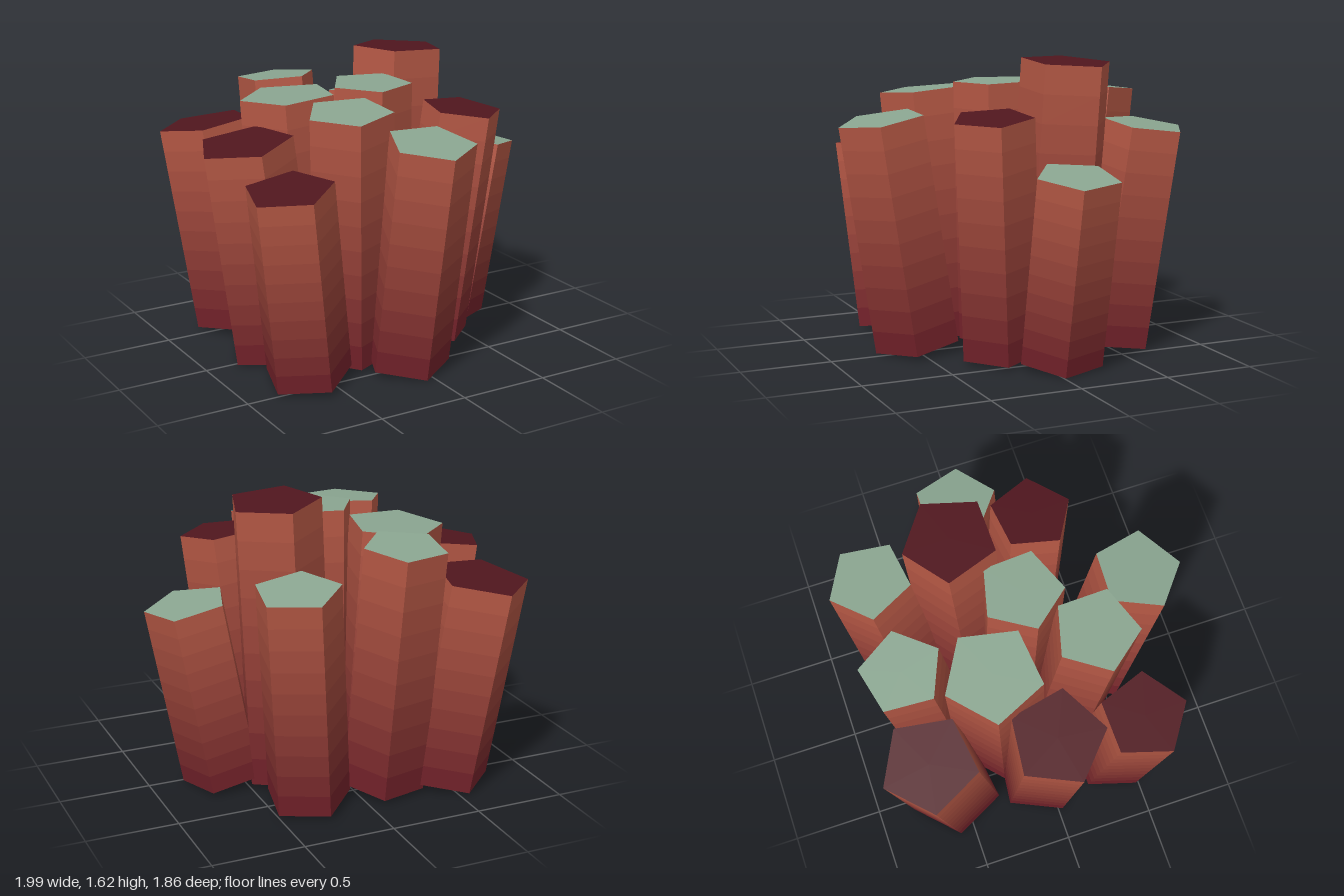
import * as THREE from 'three';

const BANDS = 10;   // colour steps from foot to top
const BASE_Y = 0.04;

const paint = (color) => new THREE.MeshStandardMaterial({ color, flatShading: true });

// Top centre x, y, z; shift of the foot in x and z; radius; corner angle in degrees; mossy top?
const COLUMNS = [
  [-0.65, 1.19, -0.68, 0.13, 0.14, 0.264, -98, false],
  [-0.20, 1.41, -0.675, 0.03, 0.155, 0.226, 5, true],
  [-0.36, 1.40, -0.235, 0.07, 0.05, 0.267, -96, true],
  [-0.735, 1.10, 0.48, 0.14, -0.08, 0.24, 87.5, false],
  [-0.74, 1.23, -0.01, 0.17, -0.02, 0.263, 168, false],
  [-0.31, 1.42, 0.345, 0.07, -0.11, 0.236, 177, true],
  [-0.02, 1.295, 0.69, -0.02, -0.20, 0.239, 93, true],
  [0, 1.48, 0.04, 0, -0.03, 0.228, 176, true],
  [0.40, 1.25, -0.68, -0.11, 0.13, 0.232, -98, true],
  [0.345, 1.60, -0.235, -0.09, 0.06, 0.253, -90.5, false],
  [0.78, 1.05, -0.08, -0.19, 0, 0.229, 18, true],
  [0.46, 1.33, 0.255, -0.13, -0.10, 0.223, 12, false],
];

// Five-sided prism whose sides are split into colour bands
function prism(radius, length, degrees) {
  const start = THREE.MathUtils.degToRad(90 - degrees);
  const geo = new THREE.CylinderGeometry(radius, radius, length, 5, BANDS, false, start);
  const sideCount = 5 * BANDS * 6;
  geo.clearGroups();
  for (let side = 0; side < 5; side++) {
    for (let band = 0; band < BANDS; band++) {
      geo.addGroup((side * BANDS + band) * 6, 6, band);
    }
  }
  geo.addGroup(sideCount, 15, BANDS);          // top
  geo.addGroup(sideCount + 15, 15, BANDS + 1); // underside
  return geo;
}

export function createModel() {
  const model = new THREE.Group();
  model.name = 'columnCluster';

  // Rock fades from warm red at the top to dark red at the foot
  const warm = new THREE.Color(0xb85a46);
  const deep = new THREE.Color(0x6e1b28);
  const sides = Array.from({ length: BANDS }, (_, i) =>
    paint(warm.clone().lerp(deep, (i + 0.5) / BANDS)));
  const moss = paint(0x8aa590);
  const bareTop = paint(0x50161e);
  const underside = paint(0x6e1b28);

  // Columns lean outward from the middle, with ends square to their axes
  const up = new THREE.Vector3(0, 1, 0);
  COLUMNS.forEach(([x, y, z, dx, dz, radius, degrees, mossy], i) => {
    const top = new THREE.Vector3(x, y, z);
    const foot = new THREE.Vector3(x + dx, BASE_Y, z + dz);
    const axis = top.clone().sub(foot);
    const column = new THREE.Mesh(
      prism(radius, axis.length(), degrees),
      [...sides, mossy ? moss : bareTop, underside]);
    column.name = `rockColumn${i + 1}`;
    column.position.copy(top).add(foot).multiplyScalar(0.5);
    column.quaternion.setFromUnitVectors(up, axis.normalize());
    model.add(column);
  });

  return model;
}
